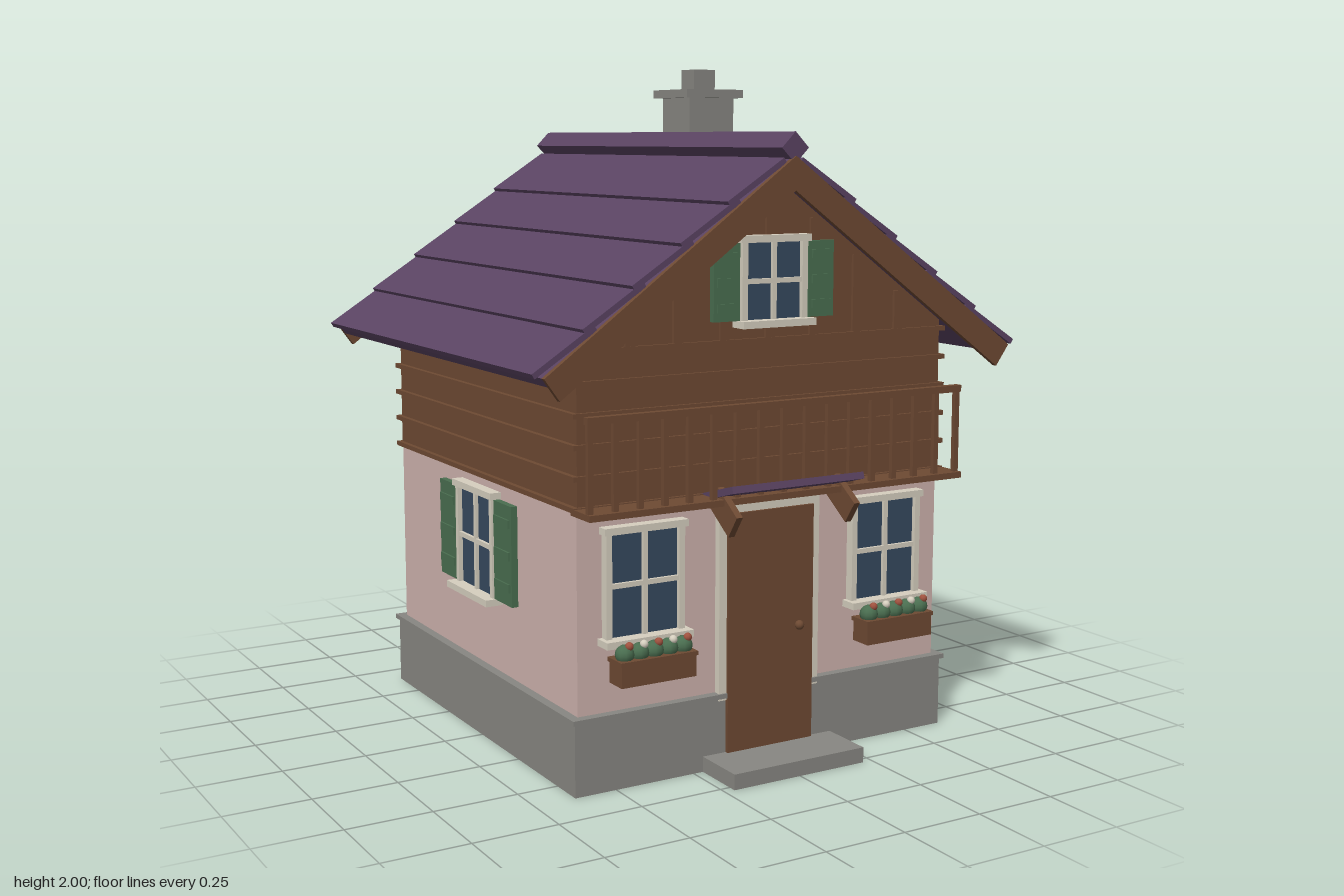
import * as THREE from 'three';

const mat = (name, color) => Object.assign(new THREE.MeshStandardMaterial({ color }), { name });

export function createModel() {
  const plaster = mat('pinkPlaster', 0xceb2ad), stone = mat('greyStone', 0x888782);
  const wood = mat('brownWood', 0x6e4a33), purple = mat('purpleRoof', 0x5a4362);
  const green = mat('shutterGreen', 0x4a6e50), cream = mat('creamTrim', 0xd6cfbf);
  const glass = mat('blueGlass', 0x36495f), red = mat('redFlower', 0xa0523f);

  const model = new THREE.Group();
  model.name = 'house';
  const CZ = -0.02, H = 0.61, FRONT = CZ + H;

  const box = (name, m, w, h, d, x, y, z, parent = model) => {
    const mesh = new THREE.Mesh(new THREE.BoxGeometry(w, h, d), m);
    mesh.name = name;
    mesh.position.set(x, y, z);
    parent.add(mesh);
    return mesh;
  };
  const ball = (name, m, r, x, y, z, parent = model) => {
    const mesh = new THREE.Mesh(new THREE.SphereGeometry(r, 10, 8), m);
    mesh.name = name;
    mesh.position.set(x, y, z);
    parent.add(mesh);
    return mesh;
  };

  // Stone base and plastered ground floor
  box('foundation', stone, 1.256, 0.21, 1.256, 0, 0.105, CZ);
  box('foundationLedge', stone, 1.275, 0.014, 1.275, 0, 0.214, CZ);
  box('groundFloorWalls', plaster, 2 * H, 0.6, 2 * H, 0, 0.5, CZ);

  // Timber upper floor with gables as one extruded pentagon
  const outline = new THREE.Shape([[-H, 0.785], [H, 0.785], [H, 1.247], [0, 1.69], [-H, 1.247]]
    .map(([x, y]) => new THREE.Vector2(x, y)));
  const upper = new THREE.Mesh(
    new THREE.ExtrudeGeometry(outline, { depth: 2 * H + 0.01, bevelEnabled: false }), wood);
  upper.name = 'upperWalls';
  upper.position.z = CZ - H - 0.005;
  model.add(upper);
  for (const y of [0.797, 0.882, 0.967, 1.052, 1.137, 1.222])
    box('plankRidge', wood, 1.25, 0.014, 1.25, 0, y, CZ);
  for (let k = -3; k <= 3; k++) {
    const x = k * 0.15, top = 1.68 - 0.7265 * (Math.abs(x) + 0.015);
    for (const s of [-1, 1])
      box('gableBatten', wood, 0.03, top - 1.22, 0.012, x, (top + 1.22) / 2, CZ + s * (H + 0.008));
  }

  // Roof: parts are laid along each slope by distance from the ridge
  const A = Math.atan(0.7265), APEX = 1.735, RZ = -0.026;
  const slopeBox = (name, m, s, from, to, off, thick, depth, z, tilt = 0) => {
    const mid = (from + to) / 2;
    const b = box(name, m, to - from, thick, depth,
      s * (mid * Math.cos(A) + off * Math.sin(A)), APEX - mid * Math.sin(A) + off * Math.cos(A), z);
    b.rotation.z = s * (tilt - A);
  };
  for (const s of [-1, 1]) {
    slopeBox('roofSlab', purple, s, 0, 0.95, -0.015, 0.03, 1.47, RZ);
    for (let i = 0; i < 5; i++) {
      const end = 0.243 + i * 0.181;
      slopeBox('roofCourse', purple, s, end - 0.215, end, 0.013, 0.016, 1.475, RZ, 0.06);
    }
    for (const z of [0.716, -0.768])
      slopeBox('bargeBoard', wood, s, 0, 0.95, -0.038, 0.076, 0.016, z);
  }
  box('ridgeCap', purple, 0.062, 0.062, 1.49, 0, 1.757, RZ).rotation.z = Math.PI / 4;

  // Chimney
  box('chimneyStack', stone, 0.165, 0.62, 0.165, 0.273, 1.6, -0.235);
  box('chimneyCap', stone, 0.21, 0.026, 0.21, 0.273, 1.923, -0.235);
  box('chimneyPot', stone, 0.078, 0.064, 0.078, 0.273, 1.968, -0.235);

  // Window facing +z, origin at its centre on the wall; optional pair of shutters
  const addWindow = (name, w, h, shutterW, x, y, z, turn = 0) => {
    const g = new THREE.Group();
    g.name = name;
    g.position.set(x, y, z);
    g.rotation.y = turn;
    model.add(g);
    box('windowPane', glass, w, h, 0.016, 0, 0, 0.006, g);
    for (const s of [-1, 1]) {
      box('frameSide', cream, 0.018, h, 0.03, s * (w / 2 - 0.005), 0, 0.013, g);
      if (!shutterW) continue;
      const sx = s * (w / 2 + 0.01 + shutterW / 2);
      box('shutter', green, shutterW, h - 0.02, 0.02, sx, 0, 0.014, g);
      for (const t of [-0.3, 0, 0.3])
        box('shutterSlat', green, shutterW - 0.02, 0.025, 0.008, sx, t * h, 0.026, g);
    }
    box('mullion', cream, 0.014, h, 0.022, 0, 0, 0.013, g);
    box('transom', cream, w, 0.014, 0.022, 0, 0, 0.013, g);
    box('frameTop', cream, w + 0.022, 0.02, 0.036, 0, h / 2, 0.017, g);
    box('windowSill', cream, w + 0.034, 0.02, 0.058, 0, -h / 2, 0.026, g);
  };
  for (const s of [-1, 1]) {
    addWindow('frontWindow', 0.24, 0.31, 0, s * 0.41, 0.578, FRONT);
    addWindow('sideWindow', 0.25, 0.315, 0.118, s * H, 0.595, CZ, s * Math.PI / 2);
  }
  addWindow('backWindow', 0.25, 0.315, 0.118, 0, 0.595, CZ - H, Math.PI);
  addWindow('gableWindow', 0.21, 0.235, 0.085, 0, 1.39, FRONT + 0.01);

  // Flower boxes
  for (const s of [-1, 1]) {
    const x = s * 0.41;
    box('flowerBox', wood, 0.235, 0.062, 0.07, x, 0.346, 0.655);
    box('flowerBoxRim', wood, 0.242, 0.012, 0.078, x, 0.381, 0.655);
    for (let i = 0; i < 5; i++) {
      const px = x + (i - 2) * 0.046;
      ball('foliage', green, 0.027, px, 0.4, 0.66);
      ball('blossom', i % 2 ? cream : red, 0.012, px + 0.008, 0.424, 0.672);
    }
  }

  // Door, frame and step
  box('door', wood, 0.29, 0.695, 0.04, 0, 0.393, 0.6);
  for (const s of [-1, 1])
    box('doorJamb', cream, 0.026, 0.565, 0.03, s * 0.157, 0.4825, 0.597);
  box('doorLintel', cream, 0.34, 0.026, 0.03, 0, 0.753, 0.597);
  ball('doorKnob', wood, 0.014, 0.095, 0.39, 0.626);
  box('doorStep', stone, 0.44, 0.045, 0.17, 0, 0.0225, 0.69);

  // Canopy over the door
  box('doorCanopy', purple, 0.44, 0.02, 0.18, 0, 0.815, 0.67).rotation.x = -0.28;
  for (const s of [-1, 1])
    box('canopyBracket', wood, 0.02, 0.075, 0.12, s * 0.197, 0.765, 0.687).rotation.x = 0.61;

  // Balcony
  box('balconyFloor', wood, 1.25, 0.018, 0.11, 0, 0.792, 0.64);
  box('balconyRail', wood, 1.25, 0.02, 0.022, 0, 1.05, 0.675);
  for (let i = 0; i <= 16; i++)
    box('baluster', wood, 0.016, 0.25, 0.014, (i - 8) * 0.0768, 0.92, 0.675);

  return model;
}
